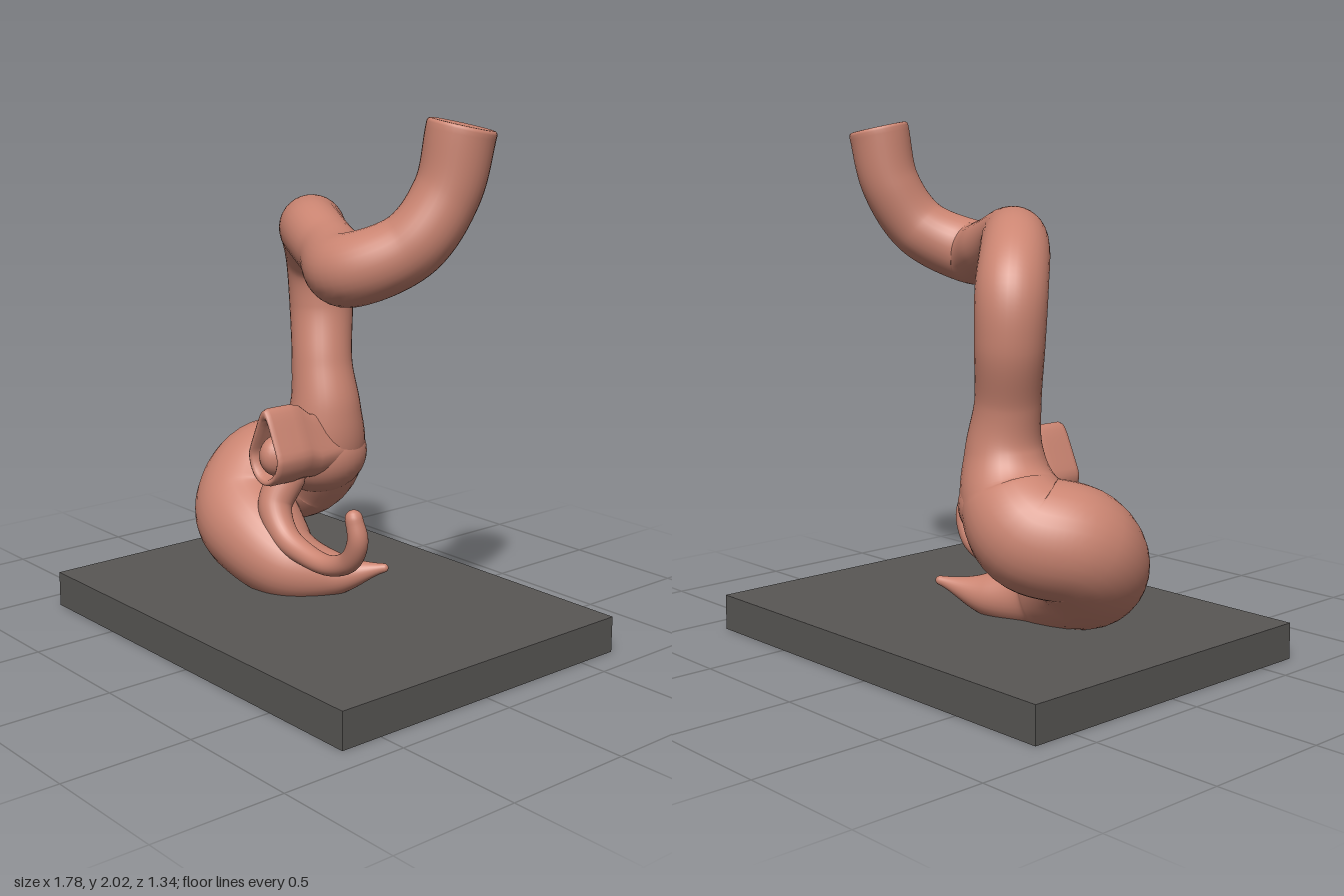
import * as THREE from 'three';

const SIDES = 32;

// Skin a list of closed rings (counter-clockwise about the direction of travel)
function loft(rings) {
  const n = rings[0].length, pos = [], idx = [];
  rings.forEach(ring => ring.forEach(p => pos.push(p.x, p.y, p.z)));
  for (let i = 0; i < rings.length - 1; i++) {
    for (let j = 0; j < n; j++) {
      const k = (j + 1) % n, a = i * n + j, b = i * n + k;
      idx.push(a, b, a + n, b, b + n, a + n);
    }
  }
  const geo = new THREE.BufferGeometry();
  geo.setAttribute('position', new THREE.Float32BufferAttribute(pos, 3));
  geo.setIndex(idx);
  geo.computeVertexNormals();
  return geo;
}

// End caps as [offset outwards, radius factor] in units of the end radius
const FLAT = [[0.06, 0.98], [0.1, 0.93], [0.11, 0.86], [0.11, 0.5], [0.11, 0]];
const ROUND = [0.25, 0.5, 0.75, 0.9, 1].map(s => [Math.sin(s * Math.PI / 2), Math.cos(s * Math.PI / 2)]);

// Tube of varying radius through points [x, y, z, radius]
function taperedTube(points, steps, startCap, endCap) {
  const curve = new THREE.CatmullRomCurve3(points.map(p => new THREE.Vector3(p[0], p[1], p[2])));
  const radii = new THREE.SplineCurve(points.map(p => new THREE.Vector2(p[3], 0)));
  const frames = curve.computeFrenetFrames(steps, false);
  const ringAt = (i, offset, factor) => {
    const u = i / steps;
    const r = Math.max(0.005, radii.getPoint(curve.getUtoTmapping(u, null)).x);
    const c = curve.getPointAt(u).addScaledVector(frames.tangents[i], offset * r);
    return Array.from({ length: SIDES }, (_, j) => {
      const a = j / SIDES * Math.PI * 2;
      return c.clone()
        .addScaledVector(frames.normals[i], Math.cos(a) * r * factor)
        .addScaledVector(frames.binormals[i], Math.sin(a) * r * factor);
    });
  };
  const rings = [...startCap].reverse().map(([o, f]) => ringAt(0, -o, f));
  for (let i = 0; i <= steps; i++) rings.push(ringAt(i, 0, 1));
  endCap.forEach(([o, f]) => rings.push(ringAt(steps, o, f)));
  return loft(rings);
}

// Teardrop outline with its point upwards
function teardropRing(z, s, dy = 0) {
  return Array.from({ length: SIDES }, (_, j) => {
    const a = j / SIDES * Math.PI * 2, up = Math.max(0, Math.sin(a));
    return new THREE.Vector3(
      -0.168 + 0.1 * s * Math.cos(a) * (1 - 0.35 * up),
      0.69 + dy + s * Math.sin(a) * (0.12 + 0.07 * up * up), z);
  });
}

export function createModel() {
  const model = new THREE.Group();
  const flesh = new THREE.MeshStandardMaterial({ color: 0xcb8572 });
  flesh.name = 'flesh pink';
  const slate = new THREE.MeshStandardMaterial({ color: 0x595755 });
  slate.name = 'dark grey';
  const add = (name, geo, mat) => {
    const mesh = new THREE.Mesh(geo, mat);
    mesh.name = name;
    model.add(mesh);
    return mesh;
  };

  // Display plate
  add('basePlate', new THREE.BoxGeometry(1.78, 0.14, 1.34), slate).position.y = 0.07;

  // Long neck, running down into the coiled belly and its pointed end
  add('neckAndBelly', taperedTube([
    [0.71, 1.984, -0.005, 0.122],
    [0.68, 1.77, 0.03, 0.118],
    [0.61, 1.59, 0.13, 0.122],
    [0.43, 1.495, 0.255, 0.13],
    [0.22, 1.525, 0.16, 0.118],
    [0, 1.575, 0.06, 0.12],
    [-0.19, 1.545, -0.1, 0.128],
    [-0.3, 1.41, -0.22, 0.132],
    [-0.312, 1.23, -0.24, 0.128],
    [-0.265, 1.0, -0.205, 0.122],
    [-0.24, 0.82, -0.2, 0.145],
    [-0.28, 0.67, -0.21, 0.185],
    [-0.4, 0.55, -0.22, 0.215],
    [-0.51, 0.5, -0.1, 0.218],
    [-0.46, 0.385, 0.03, 0.215],
    [-0.32, 0.31, 0.07, 0.195],
    [-0.15, 0.235, 0.05, 0.15],
    [0, 0.21, -0.06, 0.085],
    [0.16, 0.252, -0.165, 0.018],
  ], 220, FLAT, ROUND), flesh);

  // Rounded shoulder where the neck meets the belly
  const shoulder = add('shoulder', new THREE.SphereGeometry(1, 32, 24), flesh);
  shoulder.position.set(-0.25, 0.63, -0.19);
  shoulder.scale.set(0.16, 0.16, 0.2);

  // Open snout: outer wall, rim, inner wall and floor
  add('snout', loft([
    teardropRing(-0.2, 0.7, -0.02), teardropRing(-0.06, 0.82, -0.02),
    teardropRing(0.0, 0.95), teardropRing(0.05, 1), teardropRing(0.15, 1),
    teardropRing(0.168, 0.96), teardropRing(0.172, 0.88), teardropRing(0.165, 0.78),
    teardropRing(0.14, 0.74), teardropRing(0.07, 0.7), teardropRing(0.06, 0.6), teardropRing(0.06, 0),
  ]), flesh);

  // Knob inside the snout
  const knob = add('snoutKnob', new THREE.SphereGeometry(1, 24, 16), flesh);
  knob.position.set(-0.165, 0.685, 0.1);
  knob.scale.set(0.066, 0.082, 0.08);

  // Thin tail curling up at its end
  add('curledTail', taperedTube([
    [-0.2, 0.58, 0.03, 0.075],
    [-0.2, 0.47, 0.09, 0.068],
    [-0.12, 0.37, 0.105, 0.055],
    [0, 0.32, 0.095, 0.045],
    [0.13, 0.308, 0.085, 0.04],
    [0.24, 0.355, 0.08, 0.042],
    [0.296, 0.45, 0.09, 0.04],
    [0.285, 0.535, 0.1, 0.034],
  ], 70, ROUND, ROUND), flesh);

  return model;
}
